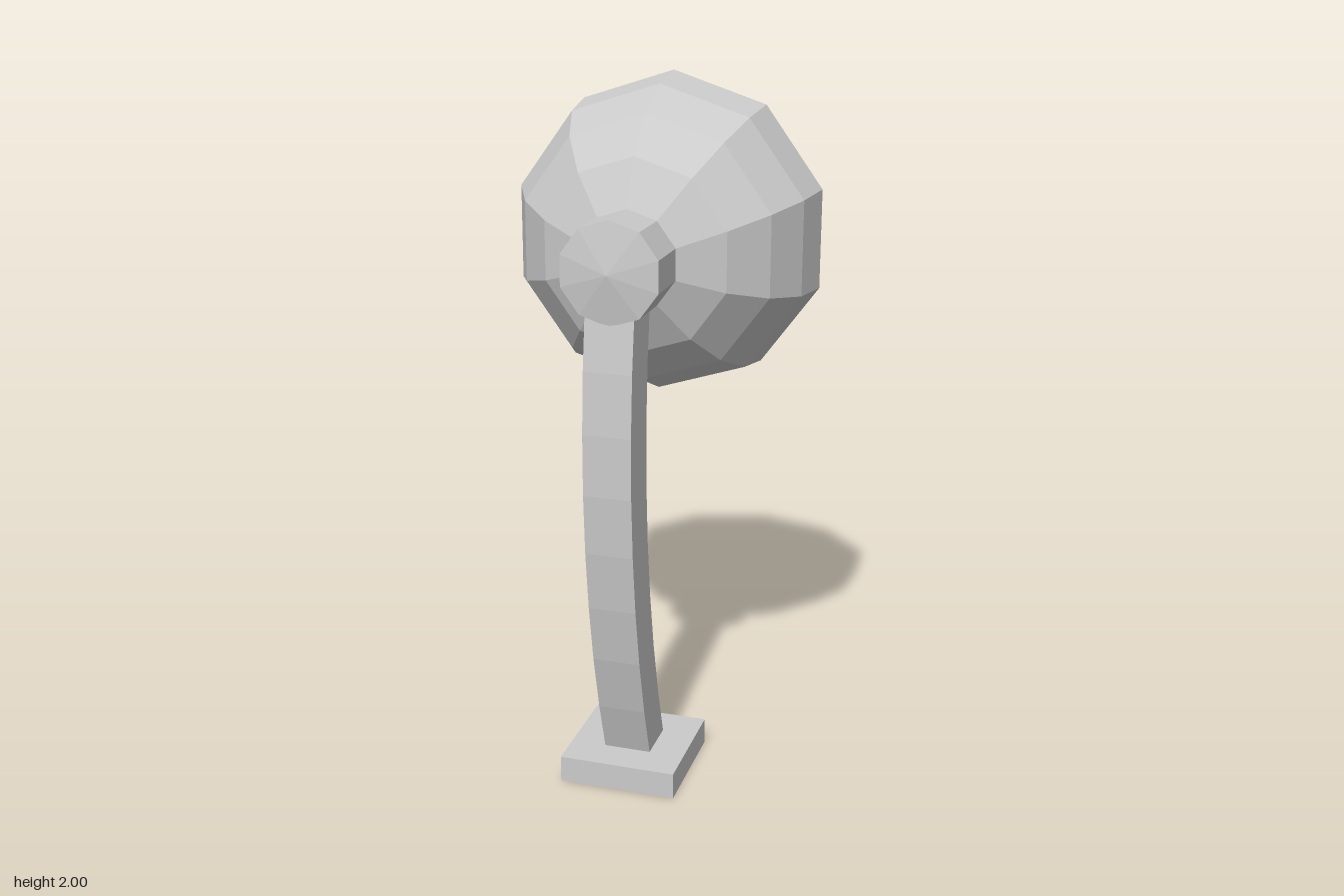
import * as THREE from 'three';

const SIDES = 10;
const HEAD_Y = 1.54;

// Profile of [radius, z] pairs, listed from low z to high z on the outside, turned about the z axis
function turned(profile) {
  const points = profile.map(([r, z]) => new THREE.Vector2(r, z));
  return new THREE.LatheGeometry(points, SIDES).rotateX(Math.PI / 2).translate(0, HEAD_Y, 0);
}

// Square post whose depth position follows a gentle bow
function bowedPost(width, y0, y1, segments) {
  const geometry = new THREE.BoxGeometry(width, y1 - y0, width, 1, segments, 1);
  geometry.translate(0, (y0 + y1) / 2, 0);
  const p = geometry.attributes.position;
  for (let i = 0; i < p.count; i++) {
    p.setZ(i, p.getZ(i) + 0.298 - 0.19 * (p.getY(i) - 1.02) ** 2);
  }
  geometry.computeVertexNormals();
  return geometry;
}

export function createModel() {
  const model = new THREE.Group();
  model.name = 'lamp';
  const flat = new THREE.MeshStandardMaterial({ color: 0xcccccc, flatShading: true });
  const smooth = new THREE.MeshStandardMaterial({ color: 0xcccccc });

  const add = (name, geometry, material) => {
    const mesh = new THREE.Mesh(geometry, material);
    mesh.name = name;
    model.add(mesh);
  };

  // Square foot
  add('base', new THREE.BoxGeometry(0.342, 0.078, 0.342).translate(0, 0.039, 0.13), flat);

  // Curved arm, ending inside the socket
  add('arm', bowedPost(0.137, 0.06, 1.45, 8), flat);

  // Thick shade: inner back wall, inner cone, rim, then the outer bowl
  add('shade', turned([
    [0, 0], [0.18, 0], [0.375, -0.256], [0.46, -0.256], [0.437, -0.114],
    [0.373, 0.015], [0.272, 0.117], [0.142, 0.182], [0, 0.182],
  ]), flat);

  // Socket with a shallow pointed cap
  add('socket', turned([[0.142, 0.182], [0.142, 0.337], [0, 0.36]]), flat);

  // Smooth bulb tapering to its stem
  add('bulb', turned([
    [0, -0.37], [0.04, -0.368], [0.103, -0.35], [0.14, -0.305], [0.154, -0.26],
    [0.141, -0.195], [0.095, -0.11], [0.062, -0.05], [0.055, 0.005],
  ]), smooth);

  return model;
}
